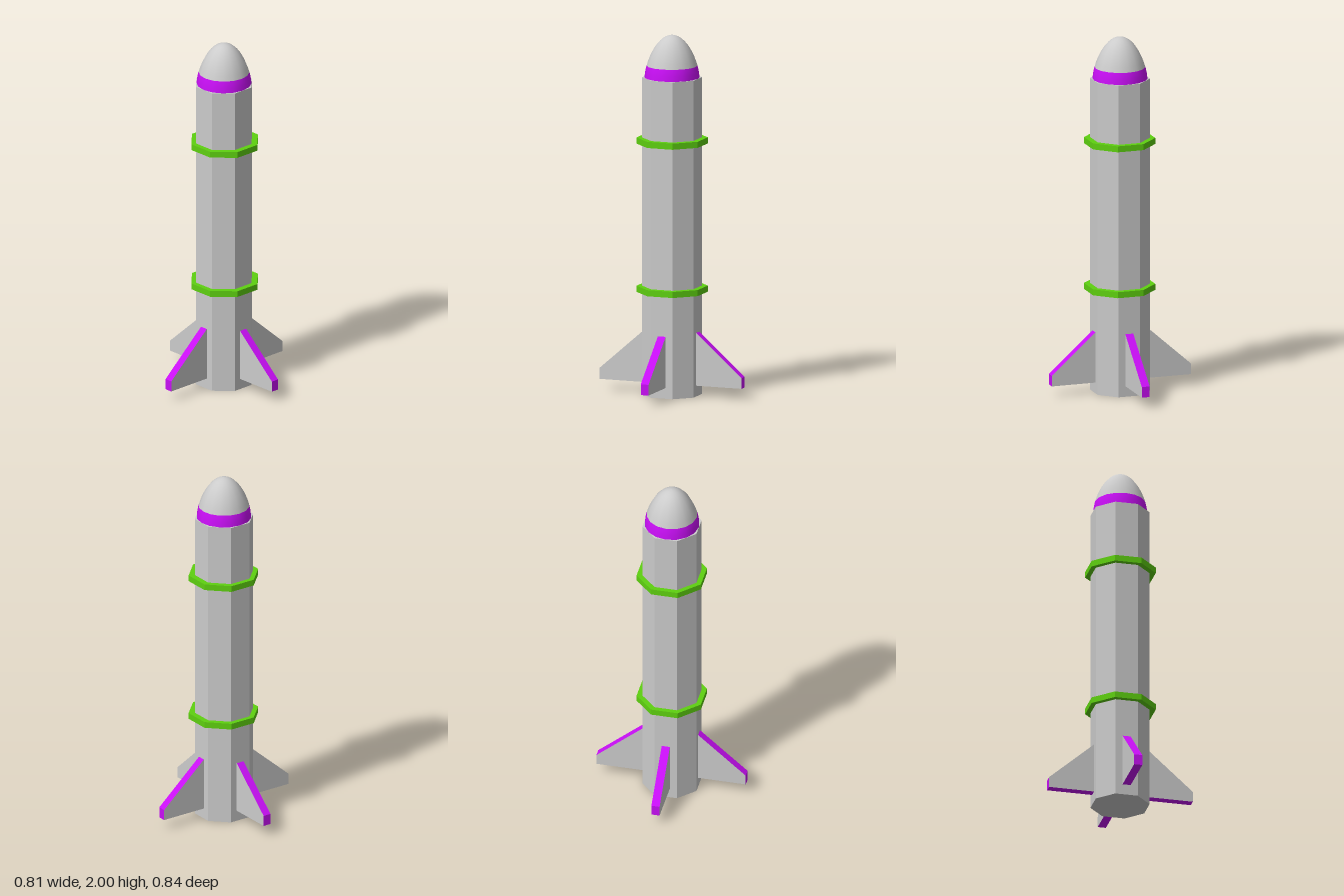
import * as THREE from 'three';

const grey = new THREE.MeshStandardMaterial({ color: 0xcccccc });
const greyFlat = new THREE.MeshStandardMaterial({ color: 0xcccccc, flatShading: true });
const purple = new THREE.MeshStandardMaterial({ color: 0xc80ff5 });
const purpleFlat = new THREE.MeshStandardMaterial({ color: 0xc80ff5, flatShading: true });
const greenFlat = new THREE.MeshStandardMaterial({ color: 0x5ed010, flatShading: true });

// Octagonal prism with flats facing the axes, sized by its half-width
function octagon(name, halfWidth, y0, y1, material) {
  const r = halfWidth / Math.cos(Math.PI / 8);
  const geo = new THREE.CylinderGeometry(r, r, y1 - y0, 8);
  geo.rotateY(Math.PI / 8);
  geo.translate(0, (y0 + y1) / 2, 0);
  const mesh = new THREE.Mesh(geo, material);
  mesh.name = name;
  return mesh;
}

// Slice of the rounded nose between two heights
const NOSE_BASE = 1.765, NOSE_TOP = 2, NOSE_RADIUS = 0.151;
function noseSlice(name, y0, y1, steps, material) {
  const points = [];
  for (let i = 0; i <= steps; i++) {
    const s = i / steps;
    // finer steps toward the tip
    const y = y0 + (y1 - y0) * (1 - (1 - s) ** 2);
    const t = (y - NOSE_BASE) / (NOSE_TOP - NOSE_BASE);
    points.push(new THREE.Vector2(NOSE_RADIUS * Math.sqrt(Math.max(0, 1 - t ** 1.5)), y));
  }
  const mesh = new THREE.Mesh(new THREE.LatheGeometry(points, 16), material);
  mesh.name = name;
  return mesh;
}

// Swept fin: grey faces, purple rim
function fin(name, reach, rootTop, angle) {
  const slope = (rootTop - 0.12) / (reach - 0.152);
  const inner = 0.13;
  const shape = new THREE.Shape([
    new THREE.Vector2(inner, 0.06),
    new THREE.Vector2(reach, 0.06),
    new THREE.Vector2(reach, 0.12),
    new THREE.Vector2(inner, 0.12 + slope * (reach - inner)),
  ]);
  const thickness = 0.046;
  const geo = new THREE.ExtrudeGeometry(shape, { depth: thickness, bevelEnabled: false });
  geo.translate(0, 0, -thickness / 2);
  const mesh = new THREE.Mesh(geo, [greyFlat, purpleFlat]);
  mesh.rotation.y = angle;
  mesh.name = name;
  return mesh;
}

export function createModel() {
  const rocket = new THREE.Group();
  rocket.name = 'rocket';

  // Hull
  rocket.add(octagon('body', 0.152, 0, NOSE_BASE, greyFlat));

  // Collars around the hull
  for (const [name, y] of [['lowerRing', 0.587], ['upperRing', 1.413]]) {
    const ring = octagon(name, 0.181, y - 0.017, y + 0.017, greenFlat);
    ring.position.set(0.003, 0, -0.002);
    rocket.add(ring);
  }

  // Nose cone with its coloured band
  rocket.add(noseSlice('noseBand', NOSE_BASE, 1.83, 4, purple));
  rocket.add(noseSlice('noseCone', 1.83, NOSE_TOP, 12, grey));

  // Four fins
  rocket.add(
    fin('leftFin', 0.405, 0.345, 0),
    fin('backFin', 0.42, 0.354, Math.PI / 2),
    fin('rightFin', 0.405, 0.345, Math.PI),
    fin('frontFin', 0.42, 0.354, -Math.PI / 2),
  );
  return rocket;
}
